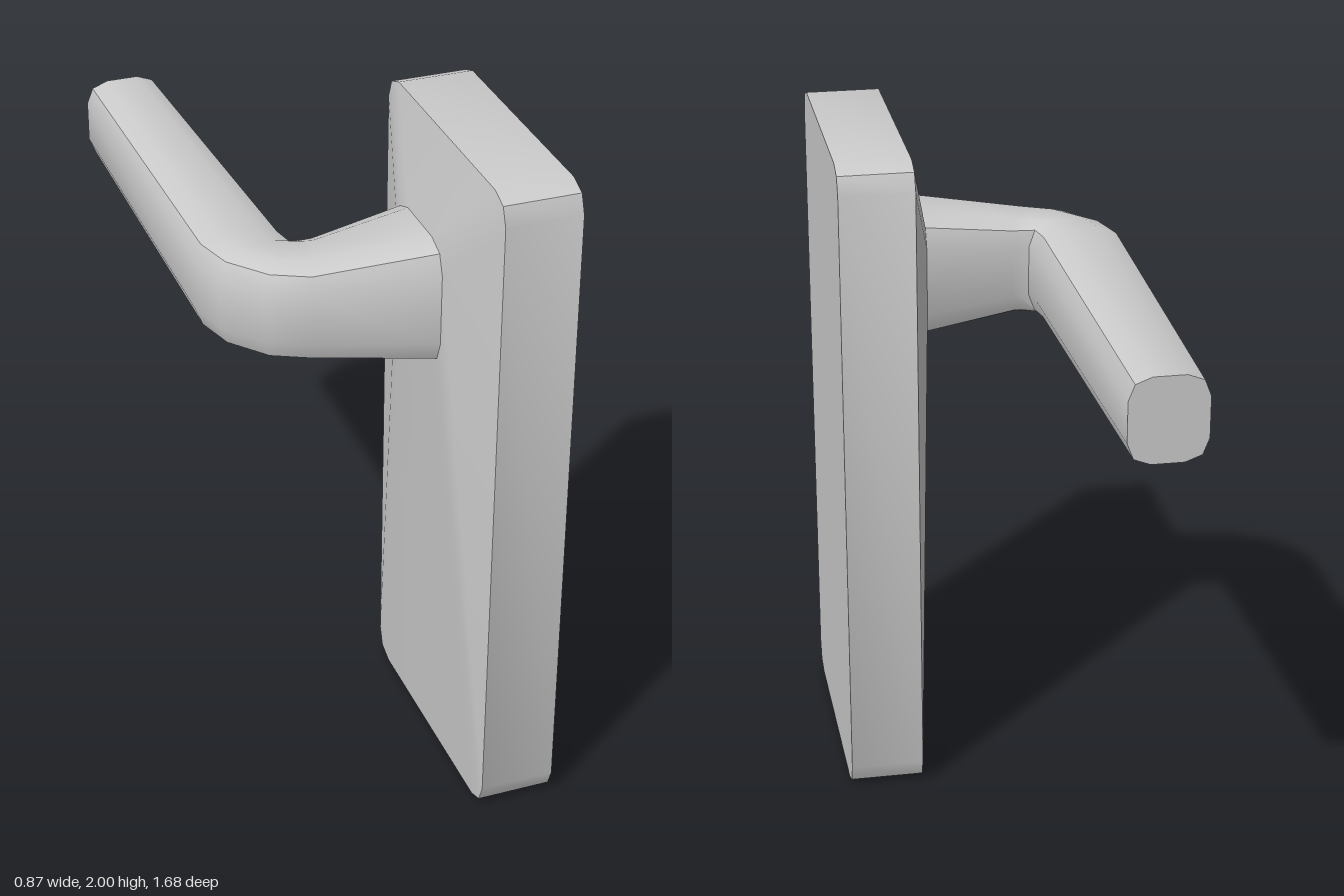
import * as THREE from 'three';
import { toCreasedNormals } from 'three/addons/utils/BufferGeometryUtils.js';

// Cross-section: rounded rectangle from the outer to the inner [x, z] point, between two heights
function ring(outer, inner, y0, y1, r) {
  const w = Math.hypot(inner[0] - outer[0], inner[1] - outer[1]);
  const h = y1 - y0, k = 0.28 * r;
  const corner = [[0, r], [k, k], [r, 0]];
  const flat = [
    ...corner,
    ...corner.map(([u, v]) => [w - u, v]).reverse(),
    ...corner.map(([u, v]) => [w - u, h - v]),
    ...corner.map(([u, v]) => [u, h - v]).reverse(),
  ];
  return flat.map(([u, v]) => [
    outer[0] + (inner[0] - outer[0]) * u / w,
    y0 + v,
    outer[1] + (inner[1] - outer[1]) * u / w,
  ]);
}

// Skin a row of cross-sections, with optional caps
function loft(rings, capStart, capEnd) {
  const n = rings[0].length, index = [];
  for (let i = 0; i < rings.length - 1; i++) {
    for (let j = 0; j < n; j++) {
      const a = i * n + j, b = i * n + (j + 1) % n;
      index.push(a, a + n, b, b, a + n, b + n);
    }
  }
  const last = (rings.length - 1) * n;
  for (let j = 1; j < n - 1; j++) {
    if (capStart) index.push(0, j, j + 1);
    if (capEnd) index.push(last, last + j + 1, last + j);
  }
  const geometry = new THREE.BufferGeometry();
  geometry.setAttribute('position', new THREE.Float32BufferAttribute(rings.flat(2), 3));
  geometry.setIndex(index);
  return toCreasedNormals(geometry, 0.7);
}

export function createModel() {
  const group = new THREE.Group();
  const material = new THREE.MeshStandardMaterial({ color: 0xcccccc });
  const add = (name, geometry) => {
    const mesh = new THREE.Mesh(geometry, material);
    mesh.name = name;
    group.add(mesh);
  };

  const neck = ring([0.147, 0.588], [0.147, 0.252], 1.375, 1.745, 0.08);

  // Tall back plate, sloping in to the neck
  add('backPlate', loft([
    ring([0.433, 0.838], [0.433, 0.008], 0, 2, 0.075),
    ring([0.213, 0.838], [0.213, 0.008], 0, 2, 0.075),
    neck,
  ], true, false));

  // Neck, bend and tapering lever
  add('leverHandle', loft([
    neck,
    ring([-0.2, 0.525], [-0.115, 0.285], 1.415, 1.705, 0.07),
    ring([-0.31, 0.47], [-0.13, 0.29], 1.415, 1.705, 0.07),
    ring([-0.402, 0.355], [-0.165, 0.295], 1.415, 1.705, 0.07),
    ring([-0.435, 0.235], [-0.178, 0.235], 1.415, 1.705, 0.07),
    ring([-0.435, -0.84], [-0.212, -0.84], 1.435, 1.685, 0.065),
  ], false, true));

  return group;
}
